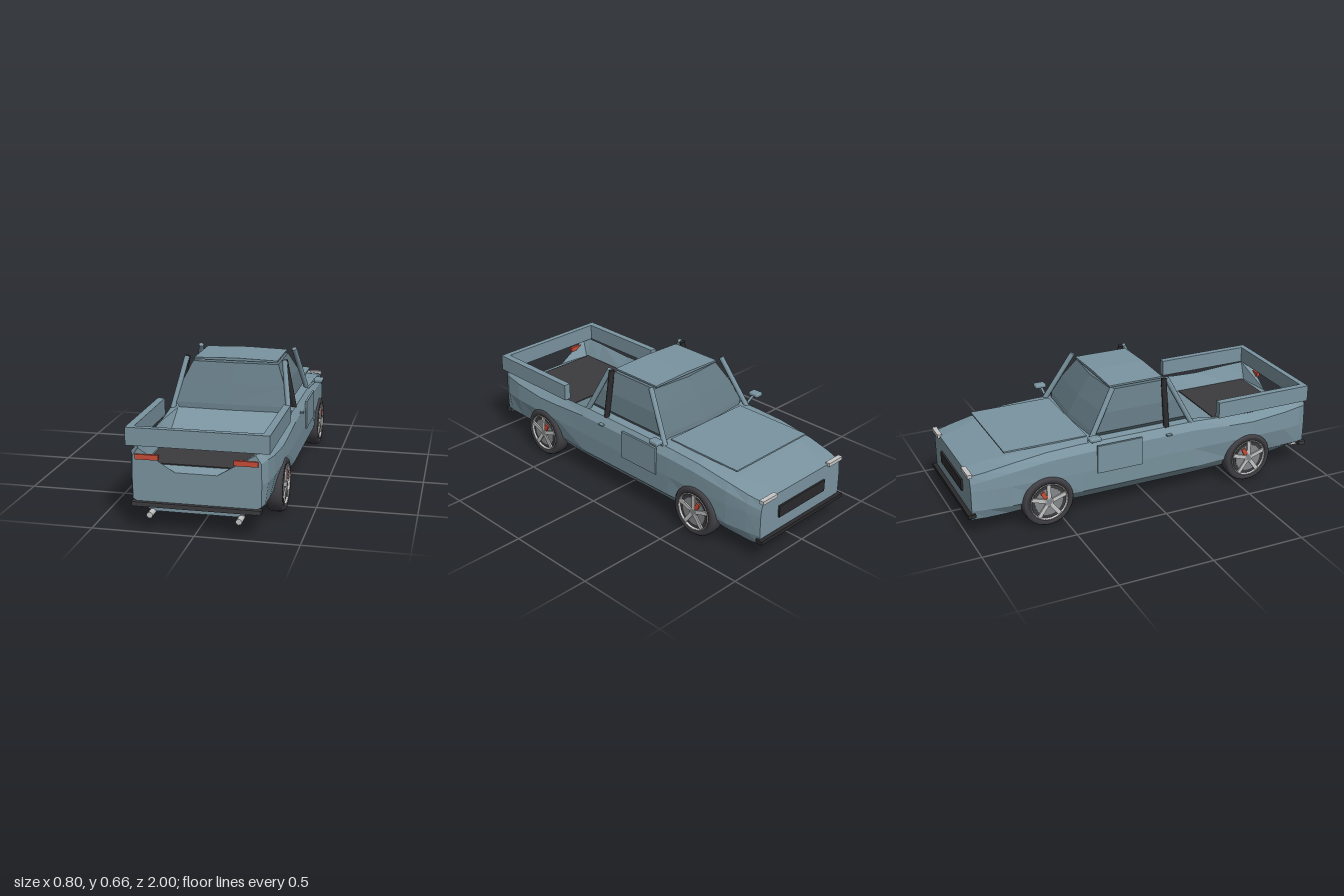
import * as THREE from 'three';
import { RoundedBoxGeometry } from 'three/addons/geometries/RoundedBoxGeometry.js';

const mat = (name, color, extra = {}) => {
  const m = new THREE.MeshStandardMaterial({ color, ...extra });
  m.name = name;
  return m;
};

// Skin through closed rings of points, with both ends capped from a centre point
function loft(rings, startCentre, endCentre) {
  const pos = [];
  const tri = (...pts) => pts.forEach((p) => pos.push(...p));
  const n = rings[0].length;
  for (let j = 0; j < n; j++) {
    const k = (j + 1) % n;
    for (let i = 0; i < rings.length - 1; i++) {
      const [r, s] = [rings[i], rings[i + 1]];
      tri(r[j], r[k], s[k]);
      tri(r[j], s[k], s[j]);
    }
    const last = rings[rings.length - 1];
    tri(startCentre, rings[0][k], rings[0][j]);
    tri(endCentre, last[j], last[k]);
  }
  const g = new THREE.BufferGeometry();
  g.setAttribute('position', new THREE.Float32BufferAttribute(pos, 3));
  g.computeVertexNormals();
  return g;
}

export function createModel() {
  const root = new THREE.Group();
  root.name = 'pickupTruck';
  const paint = mat('bodyPaint', 0x7a94a0);
  const glass = mat('tintedGlass', 0x627781);
  const dark = mat('darkTrim', 0x3c3b3f);
  const black = mat('blackBar', 0x2a2a2d);
  const rubber = mat('tyreRubber', 0x414045);
  const metal = mat('lightMetal', 0xc6c6c6);
  const grey = mat('brakeGrey', 0x85888a);
  const red = mat('red', 0xc84d38);

  const add = (name, geo, material, parent = root) => {
    const m = new THREE.Mesh(geo, material);
    m.name = name;
    parent.add(m);
    return m;
  };
  // Box given by its limits on each axis
  const box = (name, material, [x0, x1], [y0, y1], [z0, z1], parent) => {
    const m = add(name, new THREE.BoxGeometry(x1 - x0, y1 - y0, z1 - z0), material, parent);
    m.position.set((x0 + x1) / 2, (y0 + y1) / 2, (z0 + z1) / 2);
    return m;
  };
  const rod = (name, material, a, b, r, parent) => {
    const [p, q] = [new THREE.Vector3(...a), new THREE.Vector3(...b)];
    const m = add(name, new THREE.CylinderGeometry(r, r, p.distanceTo(q), 10), material, parent);
    m.position.copy(p).add(q).multiplyScalar(0.5);
    m.quaternion.setFromUnitVectors(new THREE.Vector3(0, 1, 0), q.sub(p).normalize());
    return m;
  };
  // Mirrored x range for a side
  const span = (s, a, b) => (s > 0 ? [a, b] : [-b, -a]);

  // Body: z, bottom half width, low, middle, rim, rim height, inner half width, inner height
  const sections = [
    [-0.978, 0.29, 0.305, 0.305, 0.29, 0.335, 0.2, 0.342],
    [-0.9, 0.3, 0.32, 0.322, 0.305, 0.35, 0.2, 0.36],
    [-0.78, 0.3, 0.335, 0.338, 0.315, 0.372, 0.24, 0.382],
    [-0.58, 0.29, 0.335, 0.348, 0.32, 0.398, 0.25, 0.41],
    [-0.4, 0.3, 0.345, 0.35, 0.32, 0.405, 0.25, 0.414],
    [0.24, 0.3, 0.345, 0.35, 0.32, 0.405, 0.28, 0.408],
    [0.46, 0.29, 0.33, 0.35, 0.31, 0.39, 0.27, 0.308],
    [0.6, 0.28, 0.32, 0.35, 0.31, 0.385, 0.27, 0.308],
    [0.8, 0.26, 0.32, 0.345, 0.305, 0.4, 0.27, 0.308],
    [0.9, 0.23, 0.318, 0.332, 0.295, 0.408, 0.26, 0.308],
    [0.948, 0.21, 0.308, 0.31, 0.28, 0.4, 0.1, 0.29],
  ];
  const bodyRings = sections.map(([z, b, l, w, t, y, fx, fy]) => {
    const half = [[b, 0.095], [l, 0.15], [w, 0.26], [w - 0.003, y - 0.04], [t, y], [fx, fy]];
    return [[0, 0.095, z], ...half.map(([x, h]) => [x, h, z]), [0, fy, z],
      ...half.reverse().map(([x, h]) => [-x, h, z])];
  });
  add('body', loft(bodyRings, [0, 0.16, -0.978], [0, 0.155, 0.948]), paint);
  box('bedFloor', dark, [-0.262, 0.262], [0.306, 0.313], [0.465, 0.89]);
  box('hoodPanel', paint, [-0.263, 0.263], [0.41, 0.418], [-0.785, -0.34]);

  // Glass cabin: height, half width, rear z, front z
  const cabin = [
    [0.4, 0.268, 0.235, -0.325],
    [0.435, 0.295, 0.225, -0.31],
    [0.53, 0.275, 0.17, -0.255],
    [0.632, 0.23, 0.108, -0.185],
  ].map(([y, w, r, f]) => [
    [0, y, r + 0.008], [w, y, r], [w, y, f], [0, y, f - 0.02], [-w, y, f], [-w, y, r],
  ]);
  add('cabinGlass', loft(cabin, [0, 0.4, 0], [0, 0.64, -0.04]), glass);

  // Roof panel with a slight crown
  const roof = new THREE.Shape();
  roof.moveTo(-0.224, 0.641).lineTo(0.224, 0.641).lineTo(0.224, 0.65)
    .lineTo(0, 0.656).lineTo(-0.224, 0.65);
  add('roof', new THREE.ExtrudeGeometry(roof, { depth: 0.3, bevelEnabled: false }), paint)
    .position.z = -0.195;

  // Bed rails
  box('rearRail', paint, [-0.345, 0.345], [0.405, 0.493], [0.905, 0.937]);
  for (const s of [1, -1]) {
    const side = s > 0 ? 'left' : 'right';
    const g = new THREE.Group();
    g.name = side + 'SideParts';
    root.add(g);
    box('bedRail', paint, span(s, 0.308, 0.345), [0.405, 0.493], [0.385, 0.91], g);
    // Cabin pillars
    rod('frontPillar', paint, [s * 0.31, 0.4, -0.345], [s * 0.262, 0.655, -0.195], 0.014, g);
    rod('middlePillar', black, [s * 0.312, 0.4, 0.088], [s * 0.262, 0.655, 0.095], 0.015, g);
    rod('rearPillar', paint, [s * 0.31, 0.4, 0.235], [s * 0.262, 0.655, 0.11], 0.014, g);
    // Mirror on a short arm
    rod('mirrorArm', paint, [s * 0.315, 0.4, -0.335], [s * 0.365, 0.447, -0.345], 0.007, g);
    add('mirror', new RoundedBoxGeometry(0.048, 0.023, 0.062, 3, 0.009), paint, g)
      .position.set(s * 0.378, 0.45, -0.347);
    // Door panel, handle and lamps
    box('doorPanel', paint, span(s, 0.345, 0.357), [0.24, 0.392], [-0.32, -0.07], g);
    box('doorHandle', paint, span(s, 0.345, 0.364), [0.37, 0.377], [0.07, 0.1], g);
    box('tailLight', red, span(s, 0.18, 0.294), [0.346, 0.371], [0.94, 0.957], g);
    box('headlight', metal, span(s, 0.2, 0.305), [0.332, 0.351], [-0.99, -0.965], g);
    rod('exhaustPipe', metal, [s * 0.213, 0.091, 0.93], [s * 0.213, 0.091, 1], 0.015, g);
  }

  // Bumpers and grille
  box('rearBumper', dark, [-0.31, 0.31], [0.118, 0.14], [0.93, 0.968]);
  box('noseBumper', black, [-0.315, 0.315], [0.115, 0.135], [-1, -0.96]);
  box('grille', black, [-0.175, 0.175], [0.205, 0.268], [-0.988, -0.97]);

  // Wheels, with the axle on x and the outside at +x before mirroring
  const tyreProfile = [[0.1, -0.04], [0.125, -0.04], [0.134, -0.03], [0.137, 0],
    [0.134, 0.03], [0.125, 0.04], [0.1, 0.04], [0.1, -0.04]].map((p) => new THREE.Vector2(...p));
  const rimProfile = [[0.092, 0.01], [0.101, 0.01], [0.102, 0.041], [0.095, 0.041],
    [0.092, 0.01]].map((p) => new THREE.Vector2(...p));
  const disc = (name, r, x0, x1, material, parent) => {
    const m = add(name, new THREE.CylinderGeometry(r, r, x1 - x0, 32), material, parent);
    m.rotation.z = -Math.PI / 2;
    m.position.x = (x0 + x1) / 2;
  };
  for (const s of [1, -1]) for (const z of [0.57, -0.59]) {
    const w = new THREE.Group();
    w.name = (s > 0 ? 'left' : 'right') + (z > 0 ? 'Tailgate' : 'Hood') + 'EndWheel';
    w.position.set(s * 0.32, 0.14, z);
    root.add(w);
    const face = new THREE.Group();
    face.name = 'wheelFace';
    face.rotation.y = s > 0 ? 0 : Math.PI;
    w.add(face);
    add('tyre', new THREE.LatheGeometry(tyreProfile, 40), rubber, face).rotation.z = -Math.PI / 2;
    add('rim', new THREE.LatheGeometry(rimProfile, 40), metal, face).rotation.z = -Math.PI / 2;
    disc('wheelBack', 0.1, -0.036, 0.031, dark, face);
    disc('brakeDisc', 0.075, 0.03, 0.034, grey, face);
    disc('hub', 0.024, 0.03, 0.041, grey, face);
    for (let i = 0; i < 5; i++) {
      const a = (i / 5) * Math.PI * 2;
      const spoke = add('spoke', new THREE.BoxGeometry(0.008, 0.082, 0.021), metal, face);
      spoke.position.set(0.037, Math.cos(a) * 0.056, Math.sin(a) * 0.056);
      spoke.rotation.x = a;
    }
    const caliper = add('brakeCaliper', new THREE.BoxGeometry(0.008, 0.04, 0.022), red, w);
    caliper.position.set(s * 0.039, 0.042, -0.026);
    caliper.rotation.x = -0.5;
  }
  return root;
}
